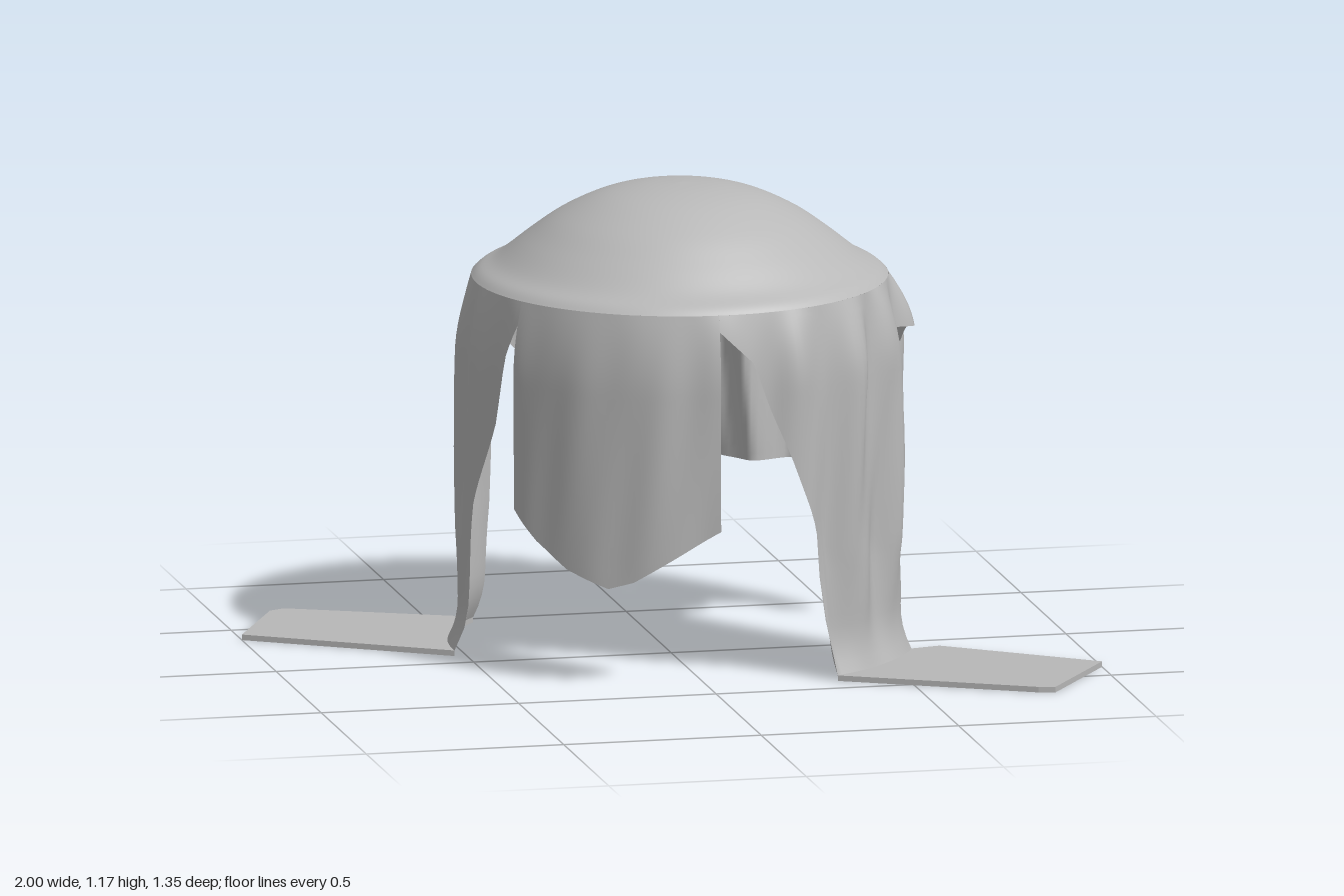
import * as THREE from 'three';

const CX = 0.04, CZ = -0.08;      // axis of the dome
const RIM_R = 0.515, RIM_Y = 0.94;
const ROWS = 32;
const rad = THREE.MathUtils.degToRad;

// Radius of the hanging cloth: bulges below the rim, pleats at the back, flares at the floor
function clothRadius(deg, y) {
  const t = Math.min((RIM_Y - y) / 0.2, 1);
  const ease = t * (2 - t);
  const amp = 0.019 + 0.017 * Math.cos(rad(deg - 310));
  const drift = 14 * Math.sin(y * 5 + deg * 0.05);
  const pleat = Math.cos(rad(18 * (deg - 270) + drift)) + 0.3 * Math.sin(rad(31 * deg) + y * 9);
  const flare = Math.max(0, 1 - y / 0.13);
  return RIM_R + ease * (0.022 + amp * 0.7) + ease * amp * pleat * Math.min(1, y / 0.3)
    + 0.035 * flare * flare;
}

// Hanging flap from a hem given as [angle, height] pairs
function flapGeometry(hem) {
  const columns = [];
  for (let k = 0; k < hem.length - 1; k++) {
    const [a0, y0] = hem[k], [a1, y1] = hem[k + 1];
    const n = Math.ceil((a1 - a0) / 1.5);
    for (let i = 0; i < n; i++) columns.push([a0 + (a1 - a0) * i / n, y0 + (y1 - y0) * i / n]);
  }
  columns.push(hem[hem.length - 1]);
  const pos = [], index = [];
  columns.forEach(([deg, low], i) => {
    for (let j = 0; j <= ROWS; j++) {
      const y = RIM_Y + (low - RIM_Y) * j / ROWS;
      const r = clothRadius(deg, y);
      pos.push(CX + r * Math.cos(rad(deg)), y, CZ + r * Math.sin(rad(deg)));
      if (i < columns.length - 1 && j < ROWS) {
        const a = i * (ROWS + 1) + j, b = a + ROWS + 1;
        index.push(a, b, a + 1, b, b + 1, a + 1);
      }
    }
  });
  const g = new THREE.BufferGeometry();
  g.setAttribute('position', new THREE.Float32BufferAttribute(pos, 3));
  g.setIndex(index);
  g.computeVertexNormals();
  return g;
}

// Thin sheet lying on the floor: inner arc under the flap, then the outer corners
function floorGeometry(from, to, corners) {
  const pts = [];
  for (let i = 0; i <= 12; i++) {
    const deg = from + (to - from) * i / 12, r = clothRadius(deg, 0.013);
    pts.push(new THREE.Vector2(CX + r * Math.cos(rad(deg)), -(CZ + r * Math.sin(rad(deg)))));
  }
  corners.forEach(([x, z]) => pts.push(new THREE.Vector2(x, -z)));
  const g = new THREE.ExtrudeGeometry(new THREE.Shape(pts), { depth: 0.014, bevelEnabled: false });
  return g.rotateX(-Math.PI / 2);
}

export function createModel() {
  const group = new THREE.Group();
  const cloth = new THREE.MeshStandardMaterial({ color: 0xb8b8b8, side: THREE.DoubleSide });
  cloth.name = 'grey cloth';
  const add = (name, geometry) => {
    const mesh = new THREE.Mesh(geometry, cloth);
    mesh.name = name;
    group.add(mesh);
    return mesh;
  };

  // Domed top with a slightly flared rim
  const profile = new THREE.SplineCurve([
    [0, 1.17], [0.1, 1.163], [0.2, 1.14], [0.3, 1.093], [0.38, 1.037],
    [0.45, 0.982], [0.495, 0.957], [RIM_R, RIM_Y],
  ].map(([r, y]) => new THREE.Vector2(r, y))).getPoints(36);
  profile[0].x = 0;
  profile.reverse();
  add('domeTop', new THREE.LatheGeometry(profile, 96)).position.set(CX, 0, CZ);

  // Four flaps around the rim; angles run from +x towards +z
  add('leftLongFlap', flapGeometry([
    [23, 0.013], [60, 0.013], [61, 0.15], [64, 0.37], [75, 0.63], [83, 0.82], [92, 0.9],
  ]));
  add('frontFlap', flapGeometry([
    [92, 0.4], [115, 0.27], [122, 0.25], [134, 0.29], [144, 0.35], [152, 0.42],
  ]));
  add('rightLongFlap', flapGeometry([
    [152, 0.88], [156, 0.8], [161, 0.62], [171, 0.4], [178, 0.13], [180, 0.013], [221, 0.013],
  ]));
  add('backFlap', flapGeometry([
    [221, 0.77], [230, 0.73], [240, 0.62], [250, 0.45], [262, 0.22], [270, 0.29], [279, 0.36],
    [310, 0.36], [319, 0.31], [327, 0.24], [337, 0.2], [346, 0.4], [354, 0.6],
    [361, 0.72], [368, 0.8], [383, 0.82],
  ]));

  // Ends of the long flaps, spread on the floor
  add('leftFloorSheet', floorGeometry(23, 60, [[0.78, 0.66], [0.82, 0.67], [1, 0.4], [0.65, 0.13]]));
  add('rightFloorSheet', floorGeometry(180, 221, [[-0.83, -0.66], [-0.87, -0.64], [-1, -0.38]]));
  return group;
}
